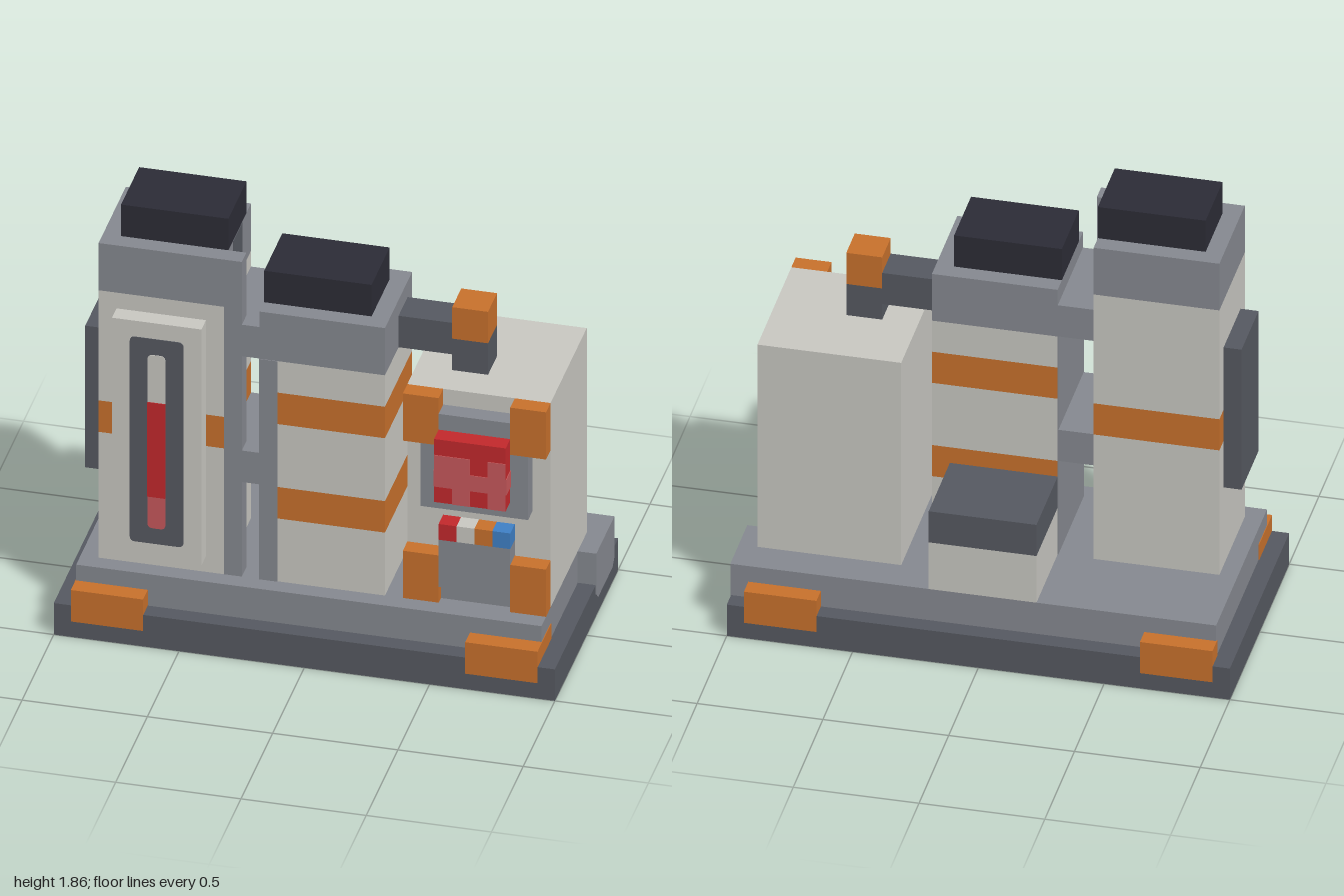
import * as THREE from 'three';

const U = 1 / 14; // one grid cell
const E = 0.04;   // lift of painted details, in cells

const mat = (name, color) => {
  const m = new THREE.MeshStandardMaterial({ color });
  m.name = name;
  return m;
};

export function createModel() {
  const light = mat('lightPanel', 0xc9c8c2);
  const grey = mat('midGrey', 0x868990);
  const dark = mat('darkGrey', 0x565961);
  const black = mat('capBlack', 0x2c2c36);
  const orange = mat('orange', 0xc8712c);
  const red = mat('red', 0xc3292c);
  const pink = mat('paleRed', 0xc7585b);
  const blue = mat('blue', 0x3f80c6);

  const model = new THREE.Group();
  model.name = 'machine';

  const group = (name) => {
    const g = new THREE.Group();
    g.name = name;
    model.add(g);
    return g;
  };
  // Box given by its limits in cells
  const box = (parent, name, material, [x0, x1], [y0, y1], [z0, z1]) => {
    const geo = new THREE.BoxGeometry((x1 - x0) * U, (y1 - y0) * U, (z1 - z0) * U);
    geo.translate((x0 + x1) / 2 * U, (y0 + y1) / 2 * U, (z0 + z1) / 2 * U);
    const mesh = new THREE.Mesh(geo, material);
    mesh.name = name;
    parent.add(mesh);
    return mesh;
  };
  // Stack of coloured layers sharing one footprint
  const stack = (parent, name, xs, zs, layers) =>
    layers.forEach(([y0, y1, m], i) => box(parent, name + (i + 1), m, xs, [y0, y1], zs));
  // Rectangle outline with rounded corners, in model units
  const rounded = (x0, x1, y0, y1, r) => {
    const s = new THREE.Shape();
    s.moveTo((x0 + r) * U, y0 * U);
    s.lineTo((x1 - r) * U, y0 * U);
    s.quadraticCurveTo(x1 * U, y0 * U, x1 * U, (y0 + r) * U);
    s.lineTo(x1 * U, (y1 - r) * U);
    s.quadraticCurveTo(x1 * U, y1 * U, (x1 - r) * U, y1 * U);
    s.lineTo((x0 + r) * U, y1 * U);
    s.quadraticCurveTo(x0 * U, y1 * U, x0 * U, (y1 - r) * U);
    s.lineTo(x0 * U, (y0 + r) * U);
    s.quadraticCurveTo(x0 * U, y0 * U, (x0 + r) * U, y0 * U);
    return s;
  };
  // Thin painted plate on a front face at depth z
  const plate = (parent, name, material, [x0, x1], [y0, y1], z, r = 0.3) => {
    const geo = new THREE.ExtrudeGeometry(rounded(x0, x1, y0, y1, r),
      { depth: E * U, bevelEnabled: false, curveSegments: 4 });
    geo.translate(0, 0, z * U);
    const mesh = new THREE.Mesh(geo, material);
    mesh.name = name;
    parent.add(mesh);
  };

  // Base with platform, corner feet and side lug
  const base = group('base');
  box(base, 'basePlate', dark, [-14, 14], [0, 2], [-7, 7]);
  box(base, 'platform', grey, [-13, 13], [2, 4], [-6, 6]);
  for (const s of [-1, 1]) {
    const xs = s < 0 ? [-13 - E, -9] : [9, 13 + E];
    box(base, 'frontFoot', orange, xs, [1, 3], [4, 7 + E]);
    box(base, 'backFoot', orange, xs, [1, 3], [-7 - E, -5.9]);
  }
  const lugShape = new THREE.Shape();
  [[2, 4], [2, 1.4], [2.4, 1], [5.6, 1], [6, 1.4], [6, 4]].forEach(([x, y], i) =>
    lugShape[i ? 'lineTo' : 'moveTo'](x * U, y * U));
  const lugGeo = new THREE.ExtrudeGeometry(lugShape, { depth: (1 + E) * U, bevelEnabled: false });
  lugGeo.rotateY(Math.PI / 2).translate(13 * U, 0, 0);
  const lug = new THREE.Mesh(lugGeo, grey);
  lug.name = 'sideLug';
  base.add(lug);

  // Tall tower with flange, side plate and cap
  const tall = group('tallTower');
  stack(tall, 'tallTowerLayer', [-12, -5], [-1, 5],
    [[4, 12, light], [12, 14, orange], [14, 21, light], [21, 24, grey]]);
  box(tall, 'flange', grey, [-5, -4], [4, 24], [4, 5]);
  box(tall, 'sideStripe', dark, [-5, -5 + E], [4, 24], [1, 3]);
  box(tall, 'tallCap', black, [-11, -5], [24, 26], [0, 4]);
  box(tall, 'sidePlate', dark, [-13, -12], [9, 18], [0, 4]);

  // Gauge on the tall tower
  const gauge = group('gauge');
  box(gauge, 'gaugePanel', light, [-11, -6], [5, 20], [5, 6]);
  plate(gauge, 'gaugeInset', dark, [-10, -7], [6, 19], 6);
  plate(gauge, 'gaugeTube', light, [-9, -8], [14, 18], 6 + E);
  plate(gauge, 'gaugeLowLevel', pink, [-9, -8], [7, 10], 6 + E);
  plate(gauge, 'gaugeLevel', red, [-9, -8], [9, 15], 6 + 2 * E, 0.01);

  // Short tower with two bands
  const short = group('shortTower');
  stack(short, 'shortTowerLayer', [-3, 4], [-1, 5],
    [[4, 8, light], [8, 10, orange], [10, 14, light], [14, 16, orange], [16, 18, light], [18, 21, grey]]);
  box(short, 'frontStrip', grey, [-3 - E, -2], [4, 18], [4.9, 5 + E]);
  box(short, 'innerSideFace', grey, [-3 - E, -3], [4, 18], [-1, 5]);
  box(short, 'shortCap', black, [-3, 3], [21, 23], [0, 4]);

  // Bridges between the towers
  for (const y of [10, 18]) box(model, 'bridge', grey, [-5, -3], [y, y + 2], [-0.98, 4.98]);

  // Rear unit
  const rear = group('rearUnit');
  stack(rear, 'rearLayer', [-3, 3], [-6, -1], [[4, 7, light], [7, 9, dark]]);

  // Pipe from the short tower into the cabinet
  const pipe = group('pipe');
  box(pipe, 'pipeArm', dark, [4, 7], [18, 20], [0, 2]);
  box(pipe, 'pipeDrop', dark, [7, 9], [17, 19], [0, 2]);
  box(pipe, 'pipeElbow', orange, [7, 9], [19, 21], [0, 2]);

  // Cabinet with corner brackets
  const cabinet = group('cabinet');
  box(cabinet, 'cabinetBody', light, [5, 13], [4, 17], [-4, 4]);
  for (const x of [5, 11])
    for (const y of [4, 14]) box(cabinet, 'bracket', orange, [x, x + 2], [y, y + 3], [4, 5]);

  // Screen in its frame
  const screen = group('screen');
  box(screen, 'frameLower', grey, [6, 12], [10, 14], [4, 5]);
  box(screen, 'frameUpper', grey, [7, 11], [14, 16], [4, 5]);
  box(screen, 'screenBlock', red, [7, 11], [11, 15], [5, 6]);
  box(screen, 'screenSideGlow', pink, [7 - E, 11 + E], [12, 13], [5, 6]);
  box(screen, 'glowRow', pink, [7, 11], [12, 13], [6, 6 + E]);
  for (const [x0, x1, y] of [[7, 9, 13], [10, 11, 13], [8, 9, 11], [10, 11, 11]])
    box(screen, 'glowCell', pink, [x0, x1], [y, y + 1], [6, 6 + E]);

  // Control console
  const controls = group('console');
  box(controls, 'consoleBody', grey, [7, 11], [5, 8], [4, 5]);
  box(controls, 'consoleFoot', grey, [7, 11], [4, 5], [4, 4.5]);
  [red, light, orange, blue].forEach((m, i) =>
    box(controls, 'button', m, [7 + i, 8 + i], [8, 9], [4, 5]));

  return model;
}
